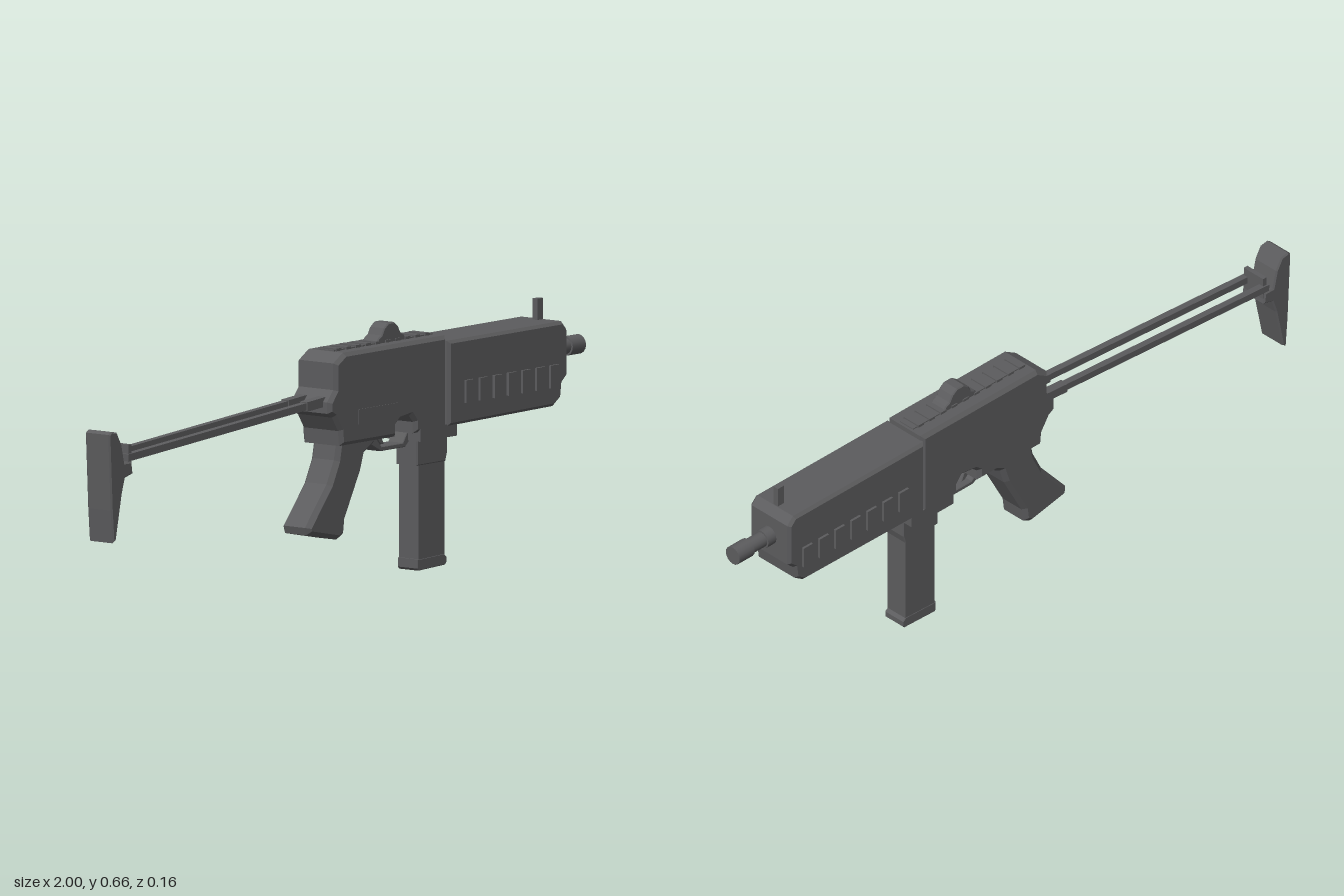
import * as THREE from 'three';

const gunmetal = new THREE.MeshStandardMaterial({ color: 0x5c5c5e });
gunmetal.name = 'gunmetal';

export function createModel() {
  const model = new THREE.Group();
  model.name = 'compactGun';

  const add = (name, geometry, x = 0, y = 0, z = 0) => {
    const mesh = new THREE.Mesh(geometry, gunmetal);
    mesh.name = name;
    mesh.position.set(x, y, z);
    model.add(mesh);
    return mesh;
  };

  // Box given by its extents in x and y, its half width and its z centre
  const box = (name, x0, x1, y0, y1, half, z = 0) =>
    add(name, new THREE.BoxGeometry(x1 - x0, y1 - y0, half * 2), (x0 + x1) / 2, (y0 + y1) / 2, z);

  // Side outline extruded across the width, with bevelled edges inside the outline
  const slab = (name, points, half, bevel = 0.006) => {
    const shape = new THREE.Shape(points.map(([x, y]) => new THREE.Vector2(x, y)));
    const geometry = new THREE.ExtrudeGeometry(shape, {
      depth: 2 * (half - bevel), bevelEnabled: bevel > 0, bevelSegments: 1,
      bevelSize: bevel, bevelThickness: bevel, bevelOffset: -bevel,
    });
    geometry.translate(0, 0, bevel - half);
    return add(name, geometry);
  };

  // Receiver with the trigger notch in its underside
  slab('receiver', [
    [-0.066, 0.37], [0.165, 0.37], [0.165, 0.4], [0.18, 0.412], [0.225, 0.418], [0.24, 0.4],
    [0.24, 0.37], [0.372, 0.37], [0.372, 0.614], [-0.05, 0.614], [-0.09, 0.59], [-0.09, 0.52],
    [-0.115, 0.49], [-0.115, 0.46], [-0.095, 0.448], [-0.07, 0.41],
  ], 0.067, 0.01);
  box('ejectionCover', 0, 0.165, 0.42, 0.46, 0.002, 0.067);

  // Handguard
  slab('handguard', [
    [0.37, 0.375], [0.81, 0.38], [0.84, 0.4], [0.845, 0.437], [0.866, 0.455],
    [0.866, 0.578], [0.845, 0.6], [0.37, 0.6],
  ], 0.074, 0.008);
  for (const side of [-1, 1]) {
    for (let i = 0; i < 7; i++) {
      const x = 0.452 + i * 0.0585;
      box('vent', x - 0.017, x + 0.017, 0.43, 0.49, 0.004, side * 0.077);
    }
  }

  // Barrel and muzzle
  const cylinder = (name, radius, x0, x1) => {
    const geometry = new THREE.CylinderGeometry(radius, radius, x1 - x0, 16);
    geometry.rotateZ(Math.PI / 2);
    add(name, geometry, (x0 + x1) / 2, 0.517, 0);
  };
  cylinder('barrel', 0.021, 0.84, 0.96);
  cylinder('barrelCollar', 0.026, 0.86, 0.895);
  cylinder('muzzle', 0.026, 0.945, 1);

  // Top rail and sights
  box('topRail', -0.045, 0.365, 0.6, 0.617, 0.024);
  for (let i = 0; i < 10; i++) {
    const x = -0.03 + i * 0.041;
    box('railRib', x - 0.01, x + 0.01, 0.605, 0.621, 0.028);
  }
  slab('rearSight', [
    [0.125, 0.61], [0.26, 0.61], [0.245, 0.628], [0.232, 0.634], [0.222, 0.652],
    [0.205, 0.664], [0.18, 0.664], [0.163, 0.652], [0.153, 0.634], [0.14, 0.628],
  ], 0.025, 0.003);
  box('frontSight', 0.82, 0.843, 0.59, 0.656, 0.008);

  // Pistol grip
  slab('grip', [
    [-0.05, 0.38], [-0.06, 0.33], [-0.09, 0.27], [-0.18, 0.165], [-0.175, 0.145],
    [-0.05, 0.12], [-0.025, 0.132], [-0.02, 0.17], [0.045, 0.29], [0.06, 0.335],
    [0.105, 0.36], [0.105, 0.38],
  ], 0.047, 0.012);

  // Trigger and its guard
  slab('triggerGuard', [
    [0.095, 0.375], [0.1, 0.355], [0.148, 0.33], [0.25, 0.33], [0.275, 0.35], [0.275, 0.375],
    [0.262, 0.375], [0.24, 0.342], [0.152, 0.342], [0.12, 0.375],
  ], 0.025, 0.002);
  slab('trigger', [
    [0.14, 0.38], [0.142, 0.365], [0.165, 0.345], [0.178, 0.345], [0.166, 0.37], [0.168, 0.4], [0.145, 0.4],
  ], 0.012, 0.002);

  // Magazine and its well
  box('magazineFlange', 0.26, 0.412, 0.346, 0.38, 0.067);
  slab('magazineWell', [
    [0.285, 0.36], [0.285, 0.277], [0.405, 0.277], [0.412, 0.3], [0.412, 0.36],
  ], 0.036, 0.003);
  box('magazine', 0.295, 0.402, 0.02, 0.34, 0.033);
  slab('magazineBase', [
    [0.29, 0.006], [0.295, 0], [0.405, 0.004], [0.411, 0.01], [0.411, 0.025], [0.4, 0.034], [0.29, 0.03],
  ], 0.034, 0.002);

  // Folding stock: paired rods, hinges and shoulder piece
  const strut = (name, x0, y0, x1, y1, thickness, z) => {
    const geometry = new THREE.BoxGeometry(Math.hypot(x1 - x0, y1 - y0), thickness, thickness);
    const mesh = add(name, geometry, (x0 + x1) / 2, (y0 + y1) / 2, z);
    mesh.rotation.z = Math.atan2(y1 - y0, x1 - x0);
  };
  for (const z of [-0.031, 0.031]) {
    strut('stockRod', -0.92, 0.431, -0.09, 0.491, 0.019, z);
    strut('stockHinge', -0.18, 0.484, -0.09, 0.491, 0.025, z);
  }
  box('stockCrossbar', -0.915, -0.902, 0.4, 0.465, 0.036);
  slab('shoulderPiece', [
    [-1, 0.5], [-0.99, 0.507], [-0.966, 0.503], [-0.947, 0.47], [-0.935, 0.42], [-0.905, 0.42],
    [-0.9, 0.388], [-0.932, 0.38], [-0.945, 0.34], [-0.97, 0.22], [-0.982, 0.213], [-0.99, 0.3],
  ], 0.041, 0.004);

  return model;
}
